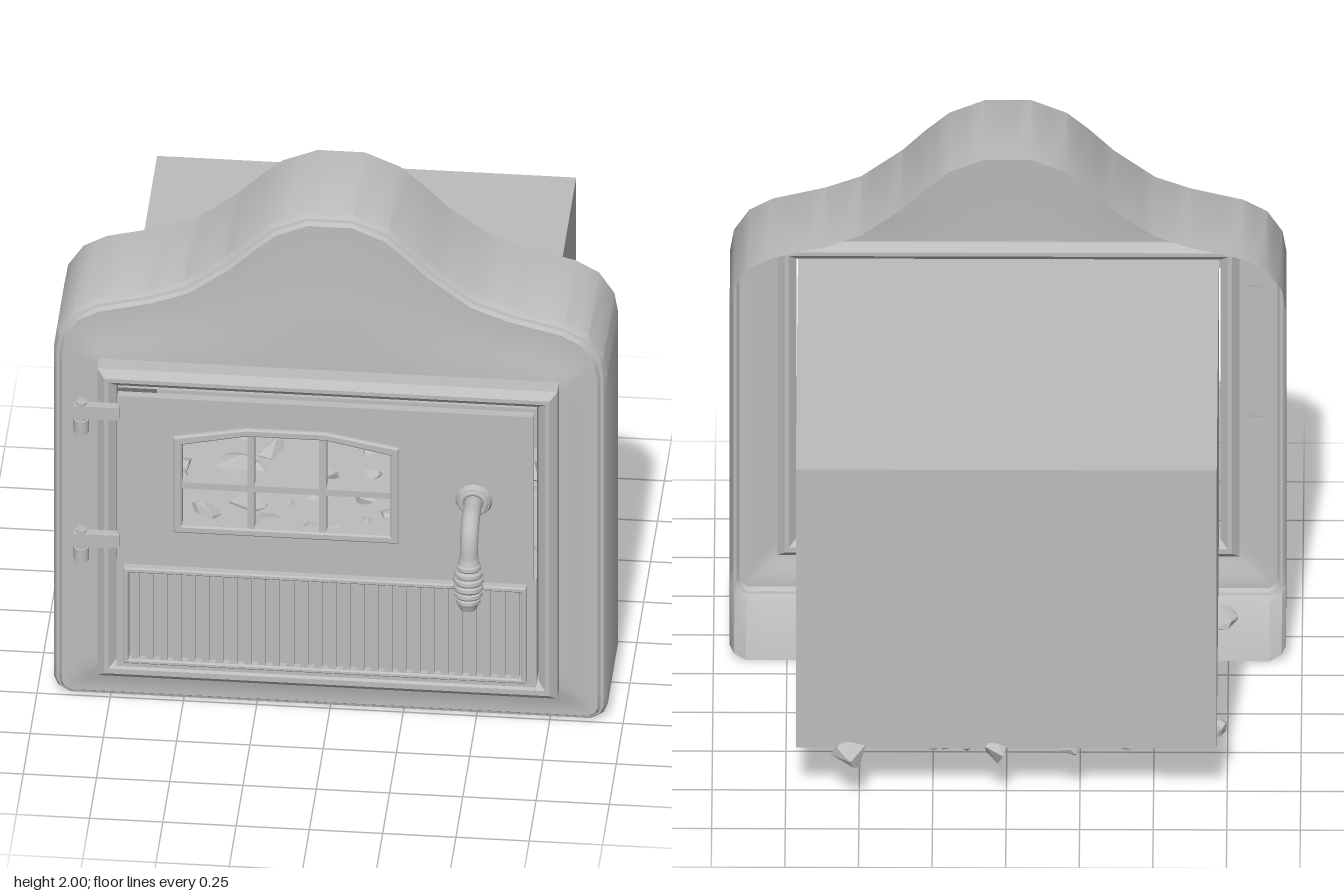
import * as THREE from 'three';
import { toCreasedNormals } from 'three/addons/utils/BufferGeometryUtils.js';
import { ConvexGeometry } from 'three/addons/geometries/ConvexGeometry.js';

const castIron = new THREE.MeshStandardMaterial({ color: 0xbcbcbc, side: THREE.DoubleSide });
castIron.name = 'castIron';

let seed = 7;
const rnd = () => (seed = (seed * 16807) % 2147483647) / 2147483647;

export function createModel() {
  const root = new THREE.Group();
  root.name = 'stoveInsert';

  const add = (name, geo, x = 0, y = 0, z = 0, parent = root) => {
    const m = new THREE.Mesh(geo, castIron);
    m.name = name;
    m.position.set(x, y, z);
    parent.add(m);
    return m;
  };
  const V2 = (p) => new THREE.Vector2(p[0], p[1]);
  // Box given by its limits
  const box = (name, x0, x1, y0, y1, z0, z1, parent) =>
    add(name, new THREE.BoxGeometry(x1 - x0, y1 - y0, z1 - z0), (x0 + x1) / 2, (y0 + y1) / 2, (z0 + z1) / 2, parent);
  // Plate between z0 and z1 with an optional hole and a bevelled front edge
  const plate = (name, outer, hole, z0, z1, bevel = 0, parent = root) => {
    const s = new THREE.Shape(outer.map(V2));
    if (hole) s.holes.push(new THREE.Path(hole.map(V2)));
    const g = new THREE.ExtrudeGeometry(s, {
      depth: z1 - z0 - 2 * bevel, bevelEnabled: bevel > 0, bevelSize: bevel,
      bevelThickness: bevel, bevelOffset: -bevel, bevelSegments: 1,
    });
    return add(name, g, 0, 0, z0 + bevel, parent);
  };
  const rect = (x0, x1, y0, y1) => [[x0, y0], [x1, y0], [x1, y1], [x0, y1]];

  // Surround outline: right half, mirrored, then subdivided (counter-clockwise)
  const half = [[0.89, 0], [0.93, 0.025], [0.945, 0.06], [0.945, 1.4], [0.932, 1.48], [0.88, 1.56], [0.8, 1.605],
    [0.62, 1.65], [0.5, 1.695], [0.36, 1.8], [0.28, 1.88], [0.2, 1.95], [0.08, 2]];
  const corners = [...half, ...half.map(([x, y]) => [-x, y]).reverse()];
  const outline = [];
  corners.forEach(([x, y], i) => {
    const [u, v] = corners[(i + 1) % corners.length];
    const n = Math.ceil(Math.hypot(u - x, v - y) / 0.07);
    for (let k = 0; k < n; k++) outline.push([x + (u - x) * k / n, y + (v - y) * k / n]);
  });
  const N = outline.length;
  const inset = (d) => outline.map((p, i) => {
    const a = outline[(i + N - 1) % N], b = outline[(i + 1) % N];
    const l = Math.hypot(b[0] - a[0], b[1] - a[1]);
    return [p[0] - (b[1] - a[1]) / l * d, p[1] + (b[0] - a[0]) / l * d];
  });

  // Hollow surround: side wall, stepped rim, then a gently swelling face down to the opening
  const rings = [[0, 0.09], [0, 0.475], [0.012, 0.495], [0.022, 0.498], [0.032, 0.512], [0.045, 0.512]]
    .map(([d, z]) => inset(d).map(([x, y]) => [x, y, z]));
  const edge = rings[rings.length - 1];
  const opening = edge.map(([x, y]) => {
    const dx = x, dy = y - 0.775;
    const k = Math.min(0.77 / Math.max(Math.abs(dx), 1e-6), 0.605 / Math.max(Math.abs(dy), 1e-6));
    return [dx * k, 0.775 + dy * k];
  });
  for (let s = 1; s <= 6; s++) {
    const t = s / 6;
    rings.push(edge.map(([x, y], i) => [x + (opening[i][0] - x) * t, y + (opening[i][1] - y) * t,
      0.512 + 0.024 * t * t * (3 - 2 * t)]));
  }
  const index = [];
  for (let j = 0; j < rings.length - 1; j++) {
    for (let i = 0; i < N; i++) {
      const a = j * N + i, b = j * N + (i + 1) % N;
      index.push(a, b, b + N, a, b + N, a + N);
    }
  }
  const shell = new THREE.BufferGeometry();
  shell.setAttribute('position', new THREE.Float32BufferAttribute(rings.flat(2), 3));
  shell.setIndex(index);
  add('surround', toCreasedNormals(shell, 0.55));

  // Raised frame around the door
  plate('doorFrame', rect(-0.785, 0.785, 0.15, 1.4), rect(-0.72, 0.72, 0.22, 1.335), 0.5, 0.62, 0.025);

  // Firebox, open at the front
  const fire = new THREE.BoxGeometry(1.43, 1.11, 1.43);
  const fi = Array.from(fire.index.array);
  fi.splice(24, 6);
  fire.setIndex(fi);
  fire.clearGroups();
  add('firebox', fire, 0, 0.775, -0.115);

  // Door with an arched window opening
  const door = new THREE.Group();
  door.name = 'door';
  root.add(door);
  const windowShape = (d) => [[-0.52 + d, 0.79 + d], [0.25 - d, 0.79 + d], [0.25 - d, 1.178 - d],
    [0.0, 1.225 - d], [-0.27, 1.225 - d], [-0.52 + d, 1.178 - d]];
  plate('doorPanel', rect(-0.712, 0.708, 0.655, 1.328), windowShape(0.012), 0.62, 0.65, 0, door);
  plate('lowerPanel', rect(-0.715, 0.715, 0.22, 0.655), null, 0.61, 0.638, 0, door);
  plate('windowFrame', windowShape(0), windowShape(0.03), 0.62, 0.664, 0.006, door);
  for (const x of [-0.255, -0.01]) box('windowBar', x - 0.012, x + 0.012, 0.81, 1.205, 0.615, 0.658, door);
  box('windowCrossbar', -0.5, 0.23, 0.97, 0.995, 0.615, 0.658, door);

  // Slatted grille below the window
  plate('grilleFrame', rect(-0.69, 0.685, 0.248, 0.638), rect(-0.672, 0.667, 0.266, 0.618), 0.63, 0.665, 0.005, door);
  for (let i = 0; i < 28; i++) {
    const x = -0.65 + i * 0.048;
    box('grilleSlat', x - 0.013, x + 0.013, 0.262, 0.622, 0.632, 0.657, door);
  }

  // Hinges: tapered bracket, strap and pin
  for (const y of [1.23, 0.71]) {
    const hinge = new THREE.Group();
    hinge.name = 'hinge';
    hinge.position.y = y;
    root.add(hinge);
    const arm = add('hingeBracket', new THREE.CylinderGeometry(0.02, 0.036, 0.13, 4, 1).rotateY(Math.PI / 4),
      -0.837, -0.02, 0.575, hinge);
    arm.rotation.x = Math.PI / 2;
    box('hingeStrap', -0.86, -0.705, 0.005, 0.055, 0.63, 0.662, hinge);
    add('hingePin', new THREE.CylinderGeometry(0.018, 0.018, 0.13, 12), -0.835, 0, 0.645, hinge);
    add('hingeKnuckle', new THREE.CylinderGeometry(0.026, 0.026, 0.05, 12), -0.835, -0.03, 0.645, hinge);
  }

  // Handle: rosette, bent stem and ribbed grip
  const handle = new THREE.Group();
  handle.name = 'handle';
  handle.position.x = 0.505;
  root.add(handle);
  add('rosette', new THREE.CylinderGeometry(0.055, 0.064, 0.022, 24).rotateX(Math.PI / 2), 0, 0.978, 0.66, handle);
  add('rosetteRing', new THREE.TorusGeometry(0.042, 0.01, 8, 24), 0, 0.978, 0.67, handle);
  const path = new THREE.CatmullRomCurve3([[0.65, 0.98], [0.71, 0.98], [0.765, 0.975], [0.805, 0.95], [0.825, 0.91],
    [0.835, 0.86]].map(([z, y]) => new THREE.Vector3(0, y, z)));
  add('handleStem', new THREE.TubeGeometry(path, 24, 0.031, 14), 0, 0, 0, handle);
  const profile = [[0, 0], [0.026, 0.002], [0.034, 0.018]];
  for (let i = 0; i < 6; i++) {
    const y = 0.024 + i * 0.025, r = 0.037 + 0.014 * Math.sin(Math.PI * (i + 0.8) / 6.6);
    profile.push([r - 0.005, y], [r, y + 0.006], [r, y + 0.018], [r - 0.005, y + 0.023]);
  }
  profile.push([0.034, 0.19], [0.03, 0.215], [0, 0.216]);
  const grip = add('handleGrip', toCreasedNormals(new THREE.LatheGeometry(profile.map(V2), 20), 0.6), 0, 0.672, 0.862, handle);
  grip.rotation.x = -0.16;

  // Rubble scattered over the firebox floor, poking through it
  const rubble = new THREE.Group();
  rubble.name = 'rubble';
  root.add(rubble);
  const stone = (x, y, z, r) => {
    const pts = [];
    for (let k = 0; k < 11; k++) {
      const h = rnd() * 2 - 1, a = rnd() * Math.PI * 2, q = Math.sqrt(1 - h * h);
      pts.push(new THREE.Vector3(q * Math.cos(a) * r * 1.15, h * r * 0.85, q * Math.sin(a) * r));
    }
    add('stone', new ConvexGeometry(pts), x, y, z, rubble);
  };
  for (let i = 0; i < 9; i++) {
    for (let j = 0; j < 9; j++) {
      const r = 0.018 + 0.045 * rnd();
      stone((i - 4) * 0.155 + (rnd() - 0.5) * 0.12, 0.215 + (rnd() - 0.5) * 0.03, -0.76 + j * 0.13 + (rnd() - 0.5) * 0.1, r);
    }
  }
  stone(0.53, 0.2, -0.835, 0.058);
  stone(0.03, 0.205, -0.82, 0.055);
  stone(-0.7, 0.21, -0.67, 0.045);
  stone(-0.72, 0.205, 0.04, 0.055);
  stone(0.2, 0.18, -0.68, 0.06);
  return root;
}
